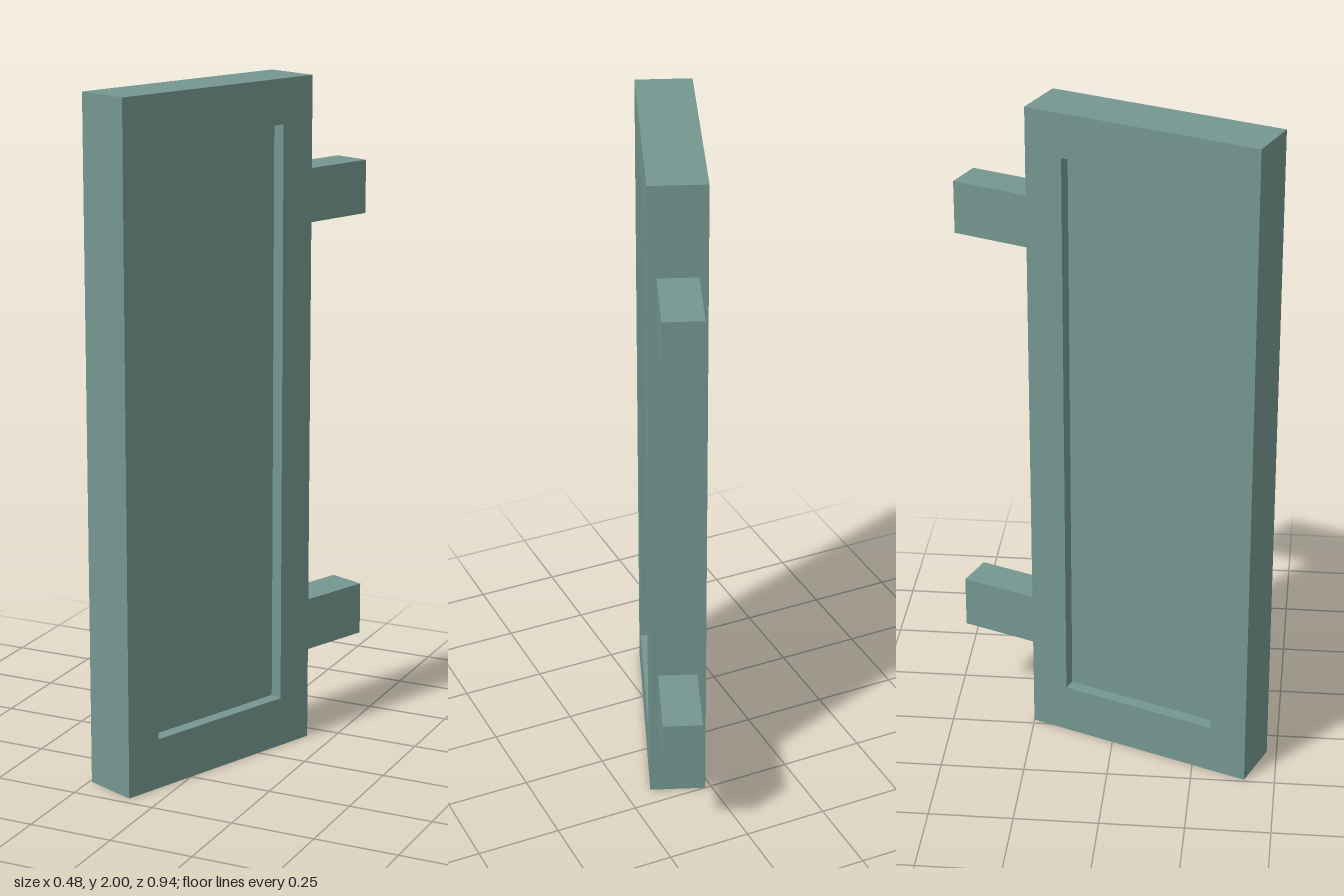
import * as THREE from 'three';

const LENGTH = 0.71, THICK = 0.166, HEIGHT = 2;
const SIDE = 0.113, BOTTOM = 0.15, TOP = 1.87; // opening margins
const RECESS = 0.038;

export function createModel() {
  const model = new THREE.Group();
  model.name = 'door';
  const material = new THREE.MeshStandardMaterial({ color: 0x74978f, flatShading: true });

  // Everything is built along z, then swung open about y
  const leaf = new THREE.Group();
  leaf.name = 'doorLeaf';
  leaf.position.set(-0.034, 0, 0.11);
  leaf.rotation.y = -0.377;
  model.add(leaf);

  function add(name, geometry, y = 0, z = 0) {
    const mesh = new THREE.Mesh(geometry, material);
    mesh.name = name;
    mesh.position.set(0, y, z);
    leaf.add(mesh);
  }

  // Frame: rectangle with a rectangular opening
  const h = LENGTH / 2, o = h - SIDE;
  const outline = new THREE.Shape([
    new THREE.Vector2(-h, 0), new THREE.Vector2(h, 0),
    new THREE.Vector2(h, HEIGHT), new THREE.Vector2(-h, HEIGHT),
  ]);
  outline.holes.push(new THREE.Path([
    new THREE.Vector2(-o, BOTTOM), new THREE.Vector2(-o, TOP),
    new THREE.Vector2(o, TOP), new THREE.Vector2(o, BOTTOM),
  ]));
  const frame = new THREE.ExtrudeGeometry(outline, { depth: THICK, bevelEnabled: false });
  frame.translate(0, 0, -THICK / 2).rotateY(-Math.PI / 2);
  add('frame', frame);

  // Panel set back on both faces
  add('panel', new THREE.BoxGeometry(THICK - 2 * RECESS, TOP - BOTTOM, 2 * o), (TOP + BOTTOM) / 2);

  // Hinge blocks on the back edge
  const hingeLength = 0.248;
  [['lowerHinge', 0.344], ['upperHinge', 1.649]].forEach(([name, y]) =>
    add(name, new THREE.BoxGeometry(0.115, 0.158, hingeLength), y, -h - hingeLength / 2));

  return model;
}
